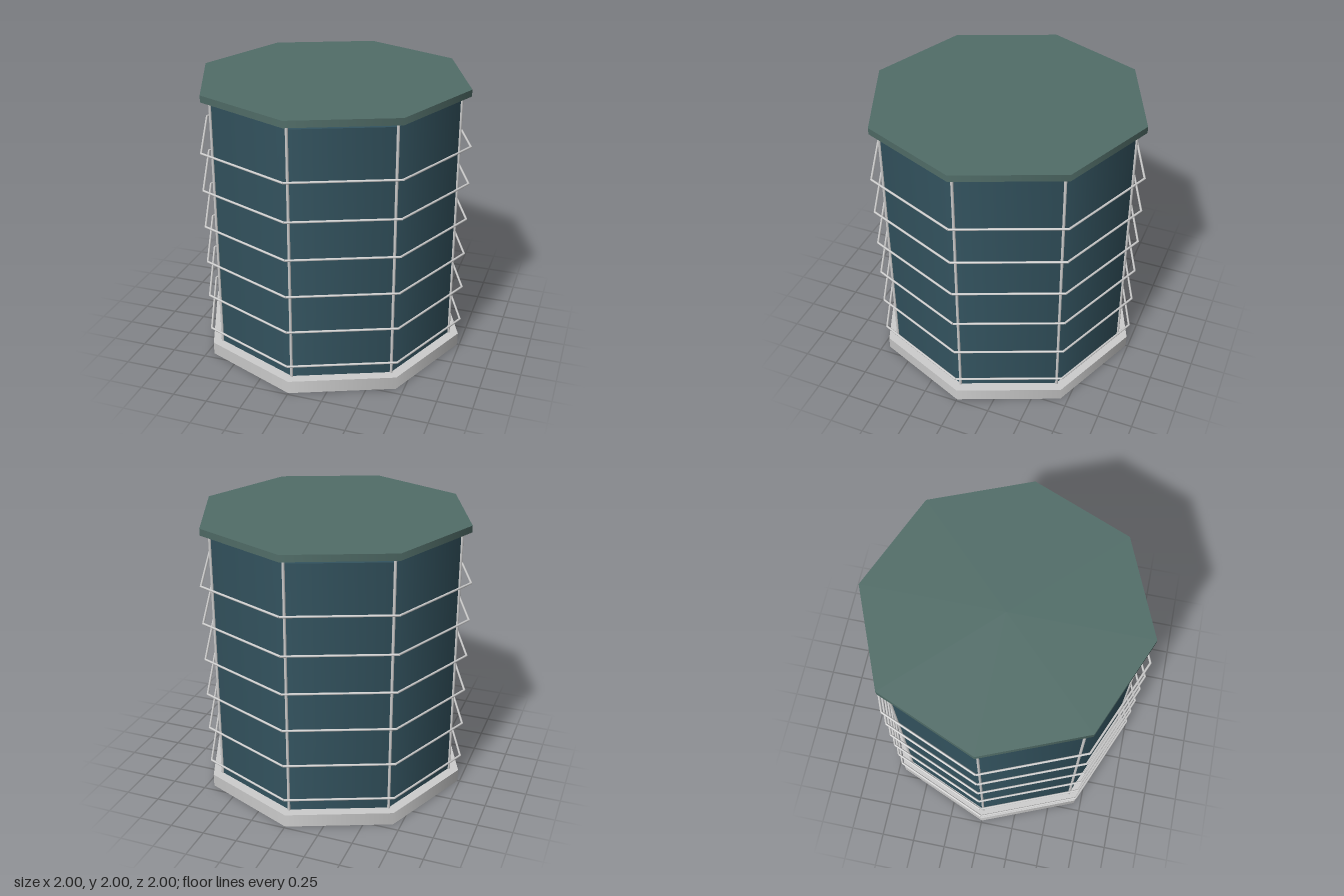
import * as THREE from 'three';

const SIDES = 8;
const grey = new THREE.MeshStandardMaterial({ color: 0xcccccc });
const wallBlue = new THREE.MeshStandardMaterial({ color: 0x33535f });
const lidGreen = new THREE.MeshStandardMaterial({ color: 0x516d68 });

// Upright octagonal prism with corners on the axes
function prism(name, radius, y0, y1, material) {
  const mesh = new THREE.Mesh(new THREE.CylinderGeometry(radius, radius, y1 - y0, SIDES), material);
  mesh.position.y = (y0 + y1) / 2;
  mesh.name = name;
  return mesh;
}

// Round bar between two points
function bar(name, a, b, radius) {
  const mesh = new THREE.Mesh(new THREE.CylinderGeometry(radius, radius, a.distanceTo(b), 10), grey);
  mesh.position.copy(a).add(b).multiplyScalar(0.5);
  mesh.quaternion.setFromUnitVectors(new THREE.Vector3(0, 1, 0), b.clone().sub(a).normalize());
  mesh.name = name;
  return mesh;
}

// Corner i of an octagon of the given radius at height y
function corner(i, radius, y) {
  const a = (i / SIDES) * Math.PI * 2;
  return new THREE.Vector3(Math.sin(a) * radius, y, Math.cos(a) * radius);
}

export function createModel() {
  const model = new THREE.Group();
  model.name = 'octagonalTank';

  // Base slab, tank wall and lid
  model.add(prism('base', 0.985, 0, 0.094, grey));
  model.add(prism('wall', 0.91, 0.094, 1.92, wallBlue));
  model.add(prism('lid', 0.978, 1.952, 2, lidGreen));

  // Upright posts on the wall corners, carrying the lid
  const posts = new THREE.Group();
  posts.name = 'posts';
  for (let i = 0; i < SIDES; i++) {
    posts.add(bar('post', corner(i, 0.912, 0.09), corner(i, 0.912, 1.955), 0.01));
  }
  model.add(posts);

  // Six horizontal rails, each made of eight straight bars
  for (let level = 0; level < 6; level++) {
    const rail = new THREE.Group();
    rail.name = 'rail';
    const y = 0.223 + level * 0.274;
    for (let i = 0; i < SIDES; i++) {
      rail.add(bar('railBar', corner(i, 0.992, y), corner(i + 1, 0.992, y), 0.008));
    }
    model.add(rail);
  }
  return model;
}
